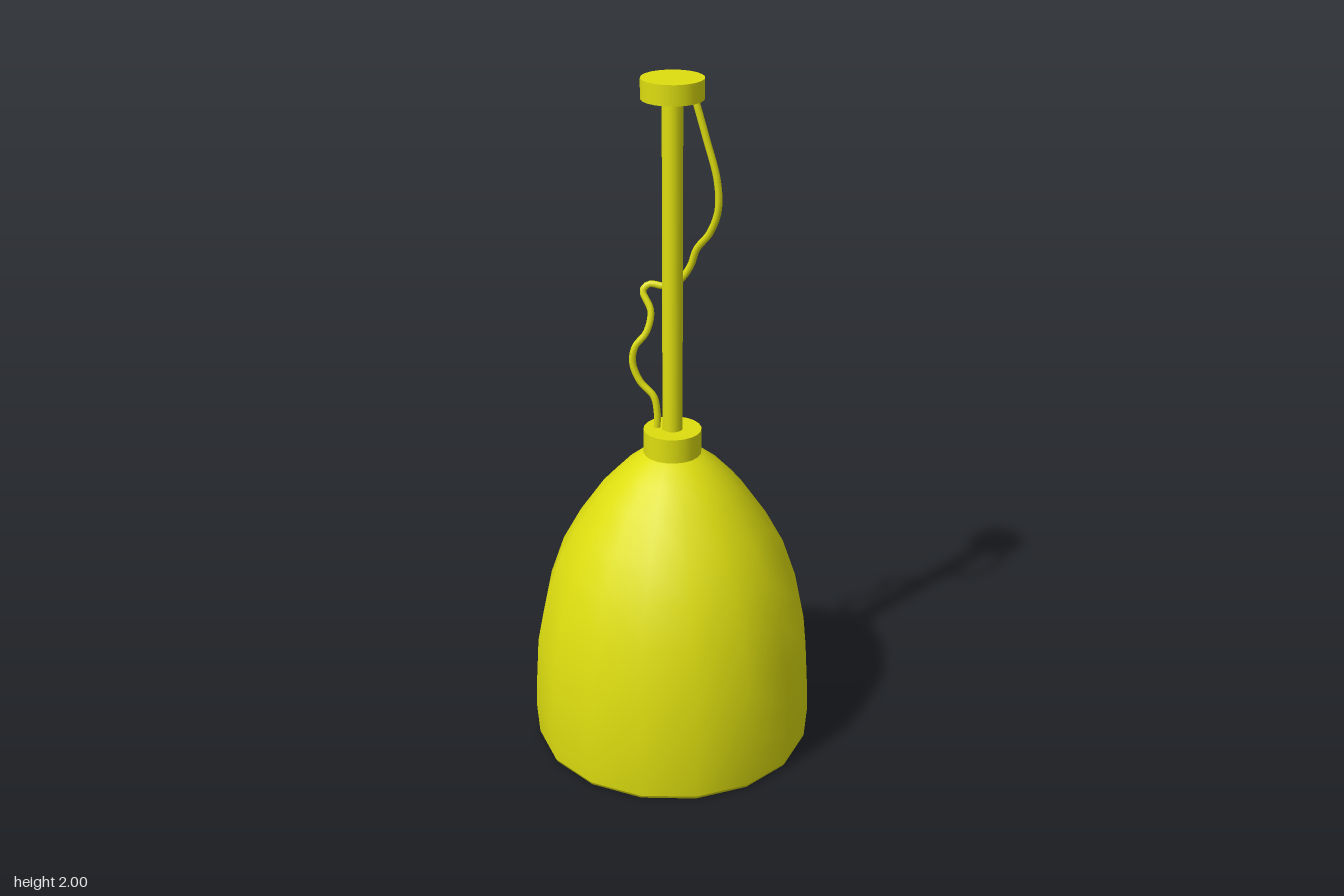
import * as THREE from 'three';

export function createModel() {
  const group = new THREE.Group();
  const yellow = new THREE.MeshStandardMaterial({ color: 0xdede10 });
  yellow.name = 'yellow';

  const add = (name, geometry, y = 0) => {
    const mesh = new THREE.Mesh(geometry, yellow);
    mesh.name = name;
    mesh.position.y = y;
    group.add(mesh);
  };

  // Smooth 16-sided bell, revolved from a [radius, height] profile
  const bell = (profile) =>
    new THREE.LatheGeometry(profile.map(([r, y]) => new THREE.Vector2(r, y)), 16);

  const outer = [
    [0.407, 0.01], [0.414, 0.1], [0.411, 0.2], [0.403, 0.33], [0.372, 0.48], [0.331, 0.6],
    [0.277, 0.7], [0.205, 0.805], [0.145, 0.868], [0.095, 0.908], [0.06, 0.925],
  ];
  const wall = 0.015;
  const inner = outer.map(([r, y]) => [r - wall, y - wall * Math.min(1, y)]).reverse();
  inner[inner.length - 1] = [0.392, 0.008];

  // Shade: outside, inside and lower rim
  add('shadeOuter', bell(outer));
  add('shadeInner', bell([[0, 0.911], ...inner]));
  add('shadeRim', bell([[0.392, 0.008], [0.396, 0], [0.402, 0], [0.407, 0.01]]));

  // Collar, stem and ceiling mount
  add('collar', new THREE.CylinderGeometry(0.083, 0.083, 0.072, 20), 0.954);
  add('stem', new THREE.CylinderGeometry(0.029, 0.029, 1.0, 16), 1.46);
  add('ceilingMount', new THREE.CylinderGeometry(0.086, 0.086, 0.056, 20), 1.972);

  // Loose cord that winds behind the stem
  const path = [
    [0.06, 1.95, 0], [0.092, 1.84, 0], [0.122, 1.73, 0], [0.125, 1.645, -0.003],
    [0.1, 1.575, -0.016], [0.06, 1.52, -0.034], [0.04, 1.465, -0.041], [0.008, 1.42, -0.043],
    [-0.03, 1.402, -0.043], [-0.075, 1.406, -0.04], [-0.092, 1.388, -0.033], [-0.066, 1.335, -0.018],
    [-0.076, 1.275, -0.006], [-0.108, 1.23, 0], [-0.115, 1.18, 0], [-0.093, 1.125, 0],
    [-0.055, 1.085, 0], [-0.045, 1.04, 0], [-0.045, 0.98, 0],
  ].map((p) => new THREE.Vector3(...p));
  add('cord', new THREE.TubeGeometry(new THREE.CatmullRomCurve3(path), 90, 0.01, 8));

  return group;
}
